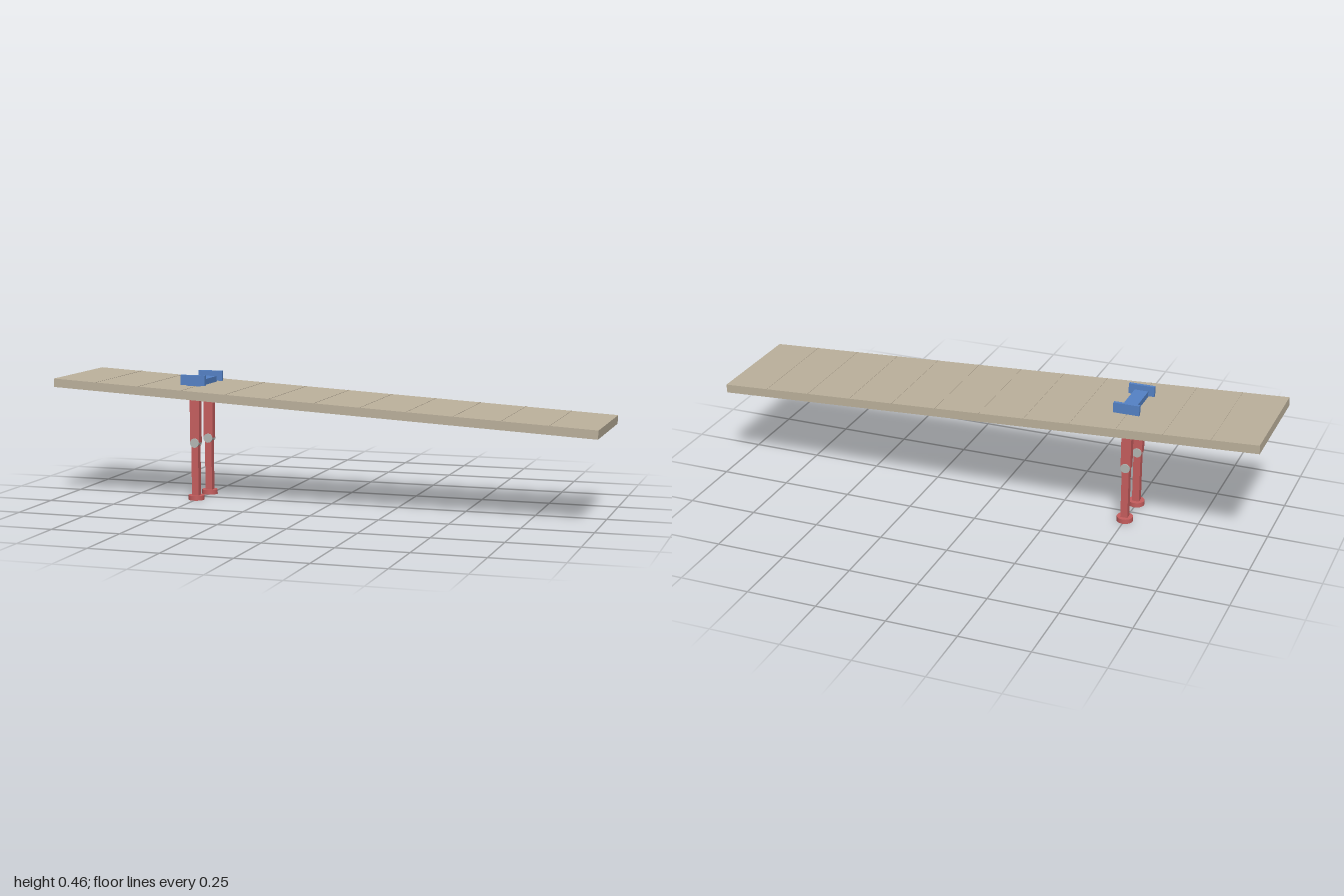
import * as THREE from 'three';

const mat = (name, color) => Object.assign(new THREE.MeshStandardMaterial({ color }), { name });

export function createModel() {
  const model = new THREE.Group();
  const wood = mat('weathered wood', 0xbcb19c);
  const red = mat('red leg paint', 0xc65e5e);
  const blue = mat('blue bracket paint', 0x5482c6);
  const steel = mat('grey steel', 0xb4b8b4);

  const add = (parent, name, geometry, material, x, y, z) => {
    const mesh = new THREE.Mesh(geometry, material);
    mesh.name = name;
    mesh.position.set(x, y, z);
    parent.add(mesh);
    return mesh;
  };
  const box = (w, h, d) => new THREE.BoxGeometry(w, h, d);

  // Sloping deck, with fine ridges marking the twelve planks
  const deck = new THREE.Group();
  deck.name = 'deck';
  deck.position.set(0, 0.376, 0);
  deck.rotation.z = -0.0534;
  model.add(deck);
  add(deck, 'deckSlab', box(2, 0.031, 0.416), wood, 0, 0, 0);
  for (let i = 1; i < 12; i++) {
    add(deck, 'plankRidge', box(0.003, 0.002, 0.416), wood, -1 + i / 6, 0.0158, 0);
  }

  // Level bracket above the legs: a crossbar between two cheek plates
  const bracket = new THREE.Group();
  bracket.name = 'bracket';
  bracket.position.x = -0.5;
  model.add(bracket);
  add(bracket, 'crossbar', box(0.05, 0.021, 0.166), blue, 0, 0.431, 0);
  for (const s of [1, -1]) {
    add(bracket, 'cheekPlate', box(0.094, 0.037, 0.012), blue, 0, 0.4425, s * 0.0865);
  }

  // Pair of hinged legs
  for (const s of [1, -1]) {
    const leg = new THREE.Group();
    leg.name = s > 0 ? 'frontLeg' : 'backLeg';
    leg.position.set(-0.5, 0, s * 0.067);
    model.add(leg);
    add(leg, 'foot', new THREE.CylinderGeometry(0.029, 0.029, 0.017, 32), red, 0, 0.0085, 0);
    add(leg, 'lowerLeg', box(0.026, 0.188, 0.025), red, 0, 0.11, 0);
    add(leg, 'upperLeg', box(0.036, 0.182, 0.025), red, 0, 0.303, 0);

    // Hinge pin with a round cap at each end
    add(leg, 'hingePin', new THREE.CylinderGeometry(0.015, 0.015, 0.026, 24), steel, 0, 0.21, 0)
      .rotation.x = Math.PI / 2;
    for (const c of [1, -1]) {
      add(leg, 'hingeCap', new THREE.CylinderGeometry(0.017, 0.017, 0.005, 24), steel, 0, 0.211, c * 0.0145)
        .rotation.x = Math.PI / 2;
    }
  }
  return model;
}
